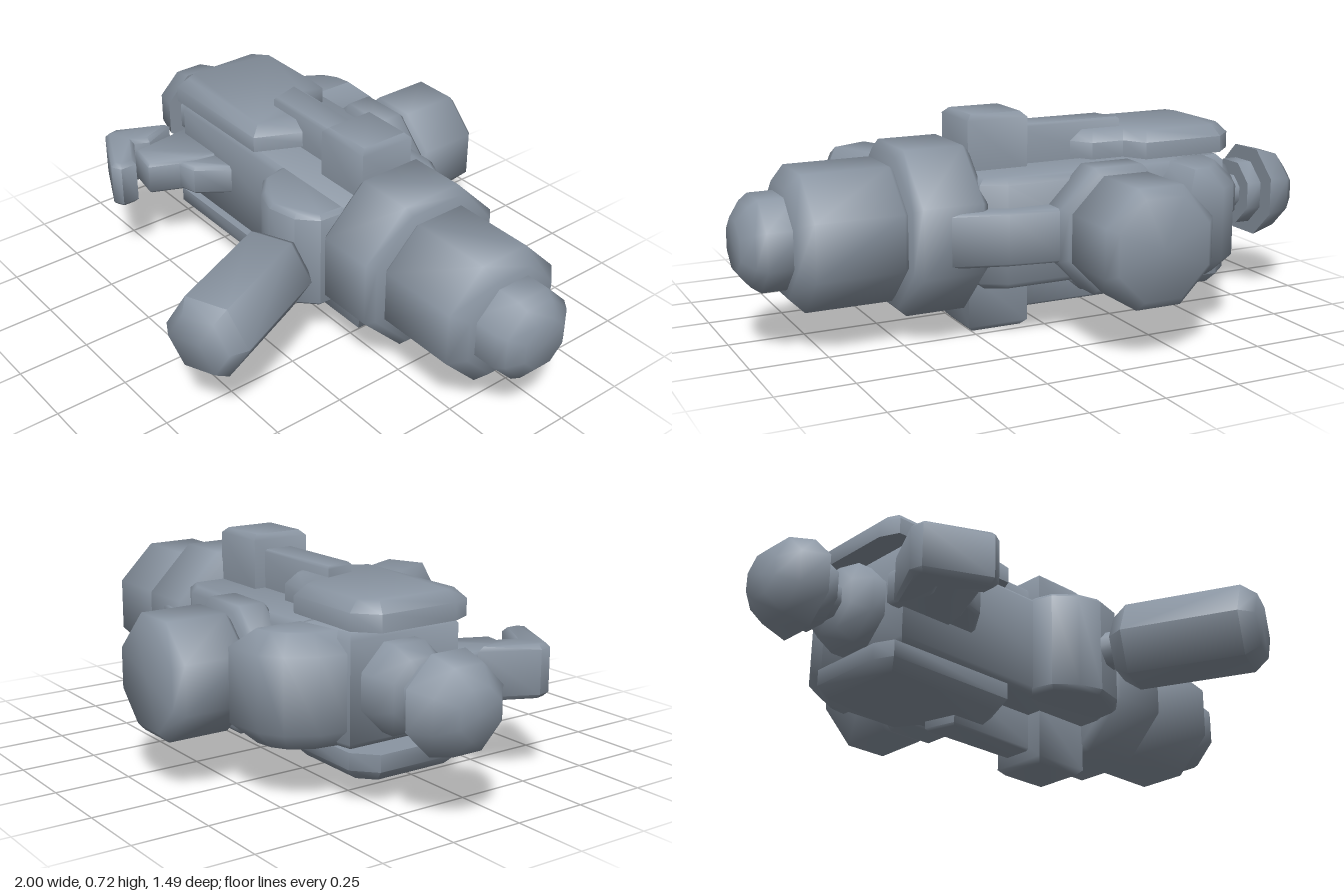
import * as THREE from 'three';
import { toCreasedNormals } from 'three/addons/utils/BufferGeometryUtils.js';

const MID_Y = 0.36; // height of the symmetry plane
const AXIS_Z = -0.125; // barrel axis

export function createModel() {
  const model = new THREE.Group();
  model.name = 'blaster';
  const steel = new THREE.MeshStandardMaterial({ color: 0x8a95a2 });
  steel.name = 'blue grey steel';

  function add(name, geometry, crease = 1.1) {
    const mesh = new THREE.Mesh(toCreasedNormals(geometry, crease), steel);
    mesh.name = name;
    model.add(mesh);
    return mesh;
  }

  // Faceted turned part: profile of [flat radius, distance] along a level direction
  function turned(name, profile, origin, dir, sides = 8, flat = true) {
    const k = flat ? 1 / Math.cos(Math.PI / sides) : 1;
    const d = new THREE.Vector3(...dir).normalize();
    const phi = Math.atan2(d.z, -d.x) + (flat ? Math.PI / sides : 0);
    const points = profile.map(([r, t]) => new THREE.Vector2(r * k, t));
    const mesh = add(name, new THREE.LatheGeometry(points, sides, phi));
    mesh.quaternion.setFromUnitVectors(new THREE.Vector3(0, 1, 0), d);
    mesh.position.set(...origin);
  }

  // Closed chamfered cylinder profile
  const drumProfile = (r, a, b, c, rEnd = r - c) =>
    [[0, a], [r - c, a], [r, a + c], [r, b - c], [rEnd, b], [0, b]];

  // Plan outline [x, z] raised from inner to outer distance on one side (1 up, -1 down)
  function slab(name, outline, inner, outer, bevel, side = 1, bothBevels = false) {
    const shape = new THREE.Shape(outline.map(([x, z]) => new THREE.Vector2(x, -side * z)));
    const start = bothBevels ? inner + bevel : inner;
    const g = new THREE.ExtrudeGeometry(shape, {
      depth: outer - bevel - start, bevelEnabled: true, bevelSegments: 1,
      bevelThickness: bevel, bevelSize: bevel, bevelOffset: -bevel,
    });
    if (!bothBevels) {
      // flatten the hidden inner bevel
      const p = g.attributes.position;
      for (let i = 0; i < p.count; i++) p.setZ(i, Math.max(0, p.getZ(i)));
    }
    g.translate(0, 0, start);
    g.rotateX(-side * Math.PI / 2);
    g.translate(0, MID_Y, 0);
    add(name, g, 0.9);
  }
  const solid = (name, outline, half, bevel) => slab(name, outline, -half, half, bevel, 1, true);

  // Receiver and its bulges
  solid('receiver', [[-0.63, 0.07], [0.28, 0.07], [0.28, -0.35], [0.2, -0.39],
    [-0.36, -0.39], [-0.63, -0.34]], 0.178, 0.02);
  solid('foregripHousing', [[-0.07, 0], [-0.07, 0.07], [-0.05, 0.14], [0.02, 0.2], [0.1, 0.225],
    [0.2, 0.2], [0.26, 0.14], [0.27, 0]], 0.178, 0.015);
  solid('rearHump', [[-0.62, -0.25], [-0.62, -0.33], [-0.605, -0.43], [-0.55, -0.52],
    [-0.48, -0.565], [-0.345, -0.58], [-0.345, -0.25]], 0.178, 0.06);
  solid('topRidge', [[-0.34, -0.3], [-0.34, -0.47], [0.04, -0.47], [0.22, -0.44],
    [0.4, -0.39], [0.4, -0.3]], 0.086, 0.008);

  // Barrel
  const barrelAxis = [0, MID_Y, AXIS_Z];
  turned('barrelCollar', drumProfile(0.267, 0.26, 0.51, 0.025), barrelAxis, [1, 0, 0]);
  turned('barrel', drumProfile(0.217, 0.48, 0.855, 0.045), barrelAxis, [1, 0, 0]);
  turned('muzzle', [[0, 0.82], [0.145, 0.82], [0.145, 0.935], [0.125, 0.965], [0.08, 1], [0, 1]],
    barrelAxis, [1, 0, 0]);

  // Rear plunger
  const rearAxis = [0, MID_Y, -0.16];
  turned('rearSocket', [[0, -0.74], [0.105, -0.74], [0.14, -0.68], [0.14, -0.6], [0, -0.6]],
    rearAxis, [1, 0, 0]);
  turned('plungerShaft', [[0, -0.86], [0.06, -0.86], [0.06, -0.7], [0, -0.7]], rearAxis, [1, 0, 0]);
  turned('plungerWasher', [[0, -0.845], [0.108, -0.845], [0.108, -0.79], [0, -0.79]],
    rearAxis, [1, 0, 0]);
  turned('plungerKnob', [[0, -1], [0.075, -1], [0.13, -0.945], [0.153, -0.855], [0, -0.855]],
    rearAxis, [1, 0, 0]);

  // Drum on the receiver
  const drumAxis = [-0.145, MID_Y, 0];
  turned('drumRing', drumProfile(0.205, -0.49, -0.36, 0.02), drumAxis, [0, 0, 1]);
  turned('drum', drumProfile(0.188, -0.75, -0.485, 0.03), drumAxis, [0, 0, 1]);

  // Foregrip and its neck
  const gripDir = [0.406, 0, 0.914];
  const gripStart = [0.171, MID_Y, 0.2415];
  turned('foregripNeck', [[0, -0.1], [0.06, -0.1], [0.06, 0.05], [0, 0.05]], gripStart, gripDir);
  turned('foregrip', [[0, 0], [0.108, 0], [0.146, 0.05], [0.146, 0.443], [0.108, 0.493], [0, 0.493]],
    gripStart, gripDir, 6, false);

  // Rear handle, hook and trigger
  solid('handlePost', [[-0.67, 0.04], [-0.43, 0.04], [-0.45, 0.14], [-0.52, 0.3],
    [-0.64, 0.28]], 0.06, 0.01);
  solid('handleHook', [[-0.69, 0.1], [-0.78, 0.28], [-0.77, 0.325], [-0.57, 0.42], [-0.535, 0.4],
    [-0.535, 0.34], [-0.66, 0.27], [-0.635, 0.22]], 0.087, 0.015);
  solid('trigger', [[-0.5, 0.04], [-0.33, 0.04], [-0.34, 0.08], [-0.41, 0.18],
    [-0.5, 0.205]], 0.054, 0.01);

  // Matching plates, rails and lugs on both flanks
  for (const side of [1, -1]) {
    const label = side > 0 ? 'upper' : 'lower';
    slab(label + 'SidePlate', [[-0.69, 0.01], [-0.66, 0.075], [-0.19, 0.075], [-0.09, -0.14],
      [-0.17, -0.26], [-0.285, -0.26], [-0.33, -0.335], [-0.62, -0.335], [-0.69, -0.27]],
    0.185, 0.275, 0.035, side);
    slab(label + 'Rail', [[-0.31, -0.19], [-0.28, -0.08], [0.1, -0.08], [0.1, -0.19]],
      0.16, 0.308, 0.008, side);
    slab(label + 'Lug', [[0.055, -0.23], [0.055, -0.025], [0.265, -0.025], [0.265, -0.23]],
      0.16, 0.358, 0.018, side);
  }
  return model;
}
